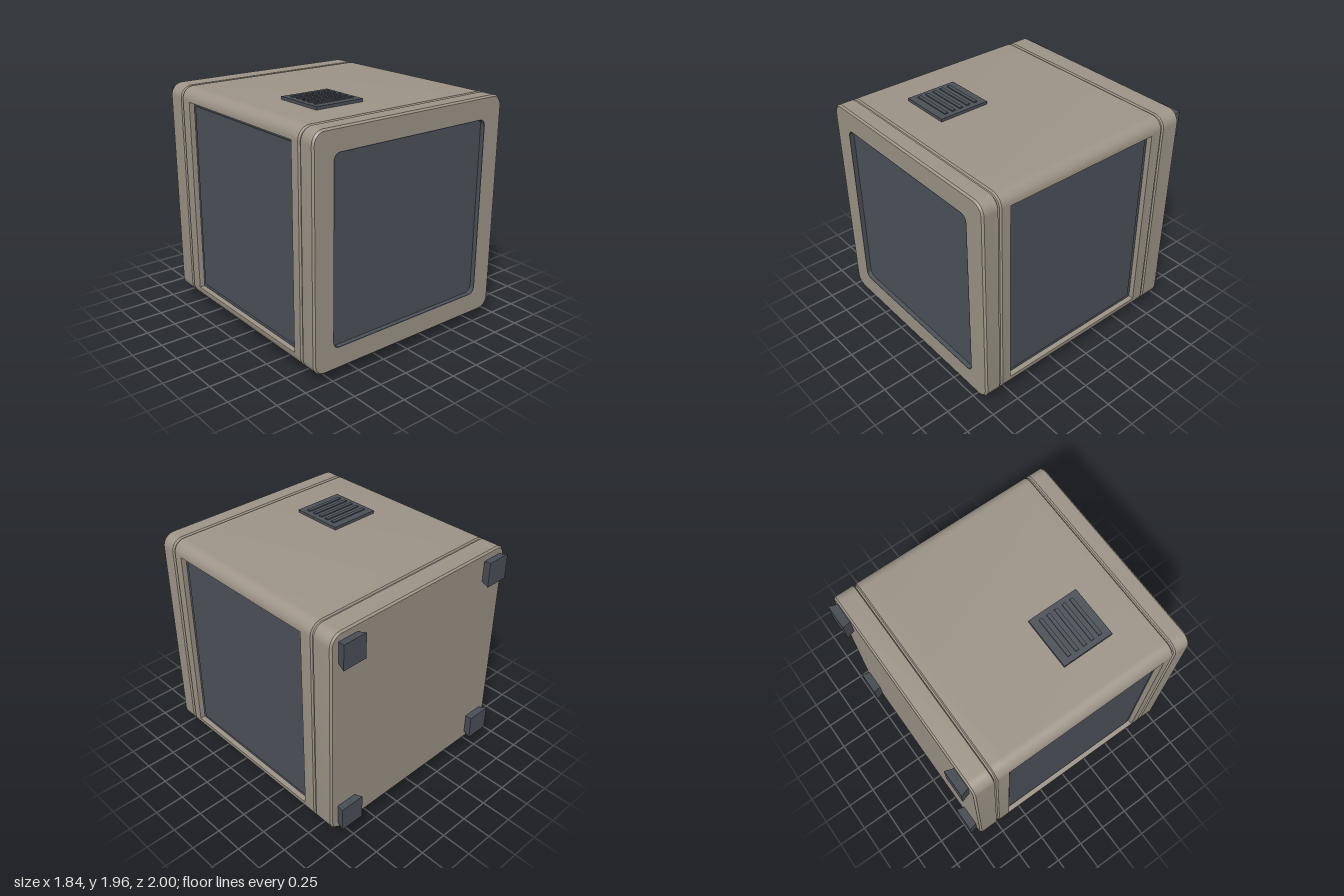
import * as THREE from 'three';
import { toCreasedNormals } from 'three/addons/utils/BufferGeometryUtils.js';

const W = 0.922, CY = 1.003, R = 0.1; // body half size, centre height, corner radius

// Rounded square outline, counter-clockwise from the right side
function outline(half, r, notch = null) {
  const pts = [];
  const signs = [[1, 1], [-1, 1], [-1, -1], [1, -1]];
  signs.forEach(([sx, sy], k) => {
    for (let i = 0; i <= 8; i++) {
      const a = (k + i / 8) * Math.PI / 2;
      pts.push(new THREE.Vector2(sx * (half - r) + r * Math.cos(a), sy * (half - r) + r * Math.sin(a)));
    }
    if (notch && k % 2 === 1) { // window recess on each side
      const s = k === 1 ? -1 : 1, h = -s * notch.half;
      const xi = s * (half - notch.depth);
      pts.push(new THREE.Vector2(s * half, h), new THREE.Vector2(xi, h),
        new THREE.Vector2(xi, -h), new THREE.Vector2(s * half, -h));
    }
  });
  return pts;
}

// Skin through rounded square rings, listed front to back as [z, inset]
function loft(rings) {
  const pos = [], index = [];
  const n = outline(W, R).length;
  for (const [z, inset] of rings)
    for (const p of outline(W - inset, R - inset)) pos.push(p.x, p.y, z);
  for (let i = 0; i < rings.length - 1; i++)
    for (let j = 0; j < n; j++) {
      const a = i * n + j, b = i * n + (j + 1) % n;
      index.push(a, a + n, b, b, a + n, b + n);
    }
  const g = new THREE.BufferGeometry();
  g.setAttribute('position', new THREE.Float32BufferAttribute(pos, 3));
  g.setIndex(index);
  g.computeVertexNormals();
  return toCreasedNormals(g, 0.6);
}

export function createModel() {
  const group = new THREE.Group();
  const body = new THREE.MeshStandardMaterial({ name: 'warm grey casing', color: 0x9e9588 });
  const dark = new THREE.MeshStandardMaterial({ name: 'slate grey', color: 0x4d525a });

  const add = (name, geo, mat, x = 0, y = 0, z = 0) => {
    const m = new THREE.Mesh(geo, mat);
    m.name = name;
    m.position.set(x, y, z);
    group.add(m);
    return m;
  };
  const box = (name, mat, w, h, d, x, y, z) => add(name, new THREE.BoxGeometry(w, h, d), mat, x, y, z);
  const face = (half, r) => new THREE.ShapeGeometry(new THREE.Shape(outline(half, r)));

  // Casing: front ring, recessed middle and back ring, with grooves between
  const b = 0.014;
  add('frontCasing', loft([[1, b], [1 - b, 0], [0.868, 0], [0.858, b], [0.846, b], [0.836, 0], [0.76, 0]]), body, 0, CY);
  add('backCasing', loft([[-0.63, 0], [-0.73, 0], [-0.738, b], [-0.752, b], [-0.76, 0], [-0.93 + b, 0], [-0.93, b]]), body, 0, CY);
  add('middleCasing', toCreasedNormals(new THREE.ExtrudeGeometry(
    new THREE.Shape(outline(W, R, { half: 0.815, depth: 0.05 })),
    { depth: 1.39, bevelEnabled: false }), 0.6), body, 0, CY, -0.63);

  // Walls closing the ends of the side recesses
  add('recessFrontWall', face(W, R).rotateY(Math.PI), body, 0, CY, 0.76);
  add('recessBackWall', face(W, R), body, 0, CY, -0.63);
  add('backFace', face(W - b, R - b).rotateY(Math.PI), body, 0, CY, -0.93);

  // Front bezel with a recessed window
  const bezel = new THREE.Shape(outline(W - b, R - b));
  bezel.holes.push(new THREE.Path(outline(0.747, 0.06)));
  add('frontBezel', new THREE.ShapeGeometry(bezel), body, 0, CY, 1);
  const rim = new THREE.Shape(outline(0.747, 0.06));
  rim.holes.push(new THREE.Path(outline(0.74, 0.055)));
  add('frontWindowRim', toCreasedNormals(new THREE.ExtrudeGeometry(rim,
    { depth: 0.04, bevelEnabled: false }), 0.6), dark, 0, CY, 0.96);
  add('frontWindow', face(0.745, 0.06), dark, 0, CY, 0.962);

  // Side windows
  for (const s of [-1, 1]) {
    box('sideWindow', dark, 0.008, 1.63, 1.39, s * 0.874, CY, 0.065);
    box('sideWindowPane', dark, 0.008, 1.57, 1.33, s * 0.881, CY, 0.065);
  }

  // Underside door, pull bar and hinges
  box('bottomPanel', dark, 1.63, 0.008, 1.39, 0, 0.08, 0.065);
  box('bottomDoor', dark, 1.43, 0.008, 1.2, 0, 0.075, 0.065);
  box('doorBar', dark, 0.05, 0.034, 0.4, 0.755, 0.053, -0.02);
  for (const z of [0.155, -0.155]) {
    box('doorBarPost', dark, 0.035, 0.02, 0.035, 0.755, 0.075, z);
  }
  for (const z of [0.61, -0.48]) box('doorHinge', dark, 0.07, 0.025, 0.1, -0.805, 0.0775, z);

  // Tilted latch under the back edge
  box('latchBase', dark, 0.49, 0.045, 0.11, 0, 0.0625, -0.75);
  box('latchPlate', dark, 0.48, 0.026, 0.15, 0, 0.04, -0.735).rotation.x = -0.46;

  // Slatted vent on top
  box('ventPlate', dark, 0.435, 0.026, 0.435, -0.333, 1.936, 0.338);
  for (let i = 0; i < 5; i++) {
    box('ventSlat', dark, 0.35, 0.012, 0.03, -0.333, 1.952, 0.198 + i * 0.07);
  }

  // Flared feet on the back
  for (const sx of [-1, 1]) for (const sy of [-1, 1]) {
    const foot = new THREE.CylinderGeometry(0.088 * Math.SQRT2, 0.106 * Math.SQRT2, 0.07, 4, 1);
    foot.rotateY(Math.PI / 4).rotateX(Math.PI / 2);
    add('backFoot', toCreasedNormals(foot, 0.3), dark, sx * 0.765, CY + sy * 0.765, -0.965);
  }
  return group;
}
